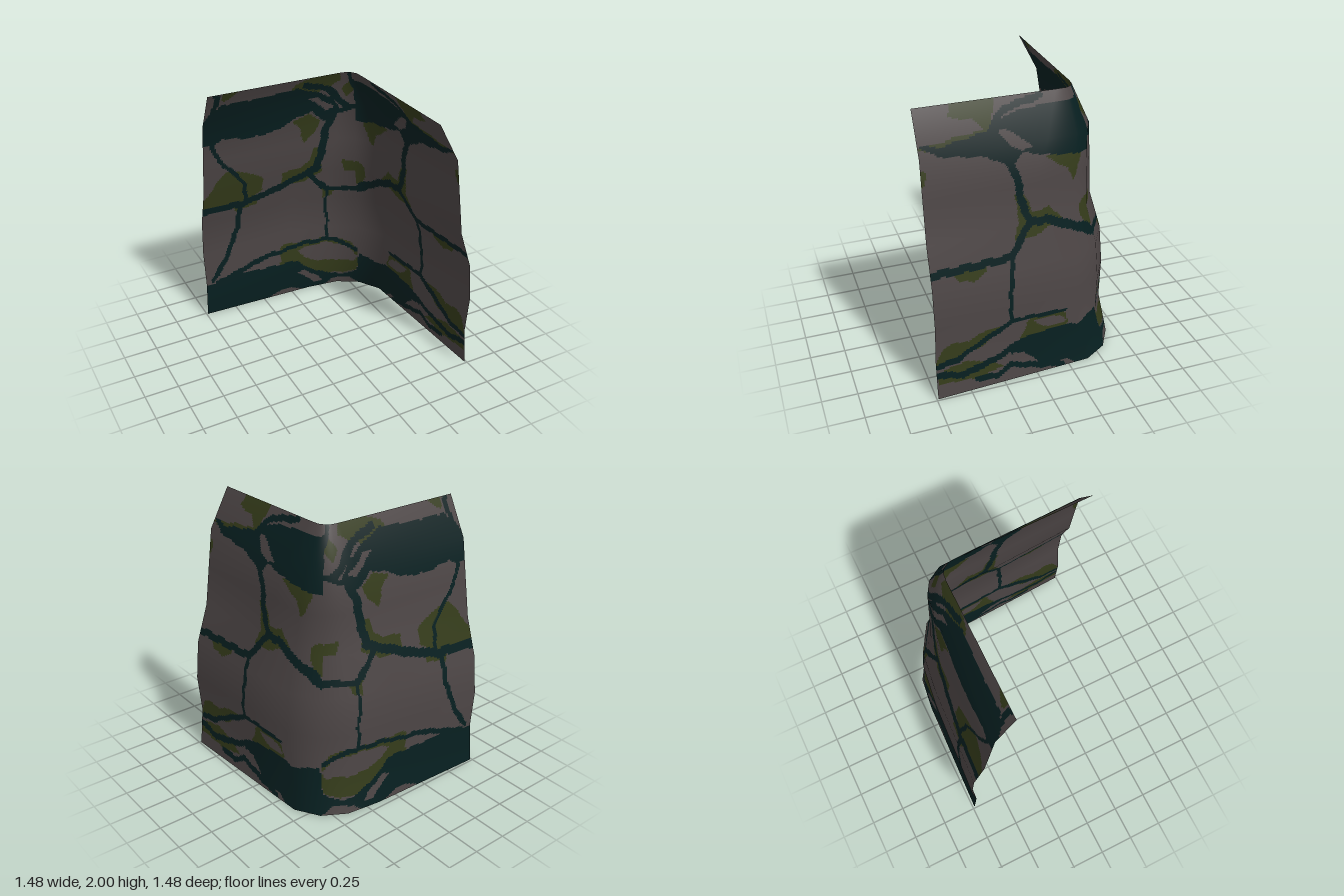
import * as THREE from 'three';

// Profile rows, top to bottom: height, back wall offset, side wall offset, corner offset
const rows = [
  [2, 0.366, 0.372, 0.333], [1.72, 0.513, 0.526, 0.424], [1.43, 0.56, 0.567, 0.43], [1.15, 0.606, 0.606, 0.438],
  [0.87, 0.698, 0.70, 0.498], [0.58, 0.729, 0.73, 0.517], [0.29, 0.706, 0.706, 0.515], [0, 0.737, 0.737, 0.57],
];
const STEP = 0.0125;

// Painted patches: s runs along a wall (x on the back wall, -z on the side wall), then height
const paint = { back: [], side: [] };
const area = (wall, color, pts) => paint[wall].push({ color, pts, width: 0 });
const line = (wall, width, pts) => paint[wall].push({ color: 'grout', pts, width });

// Back wall moss
area('back', 'moss', [[-.74, 1.0], [-.74, 1.08], [-.62, 1.25], [-.57, 1.31], [-.42, 1.28], [-.28, 1.2], [-.27, 1.08], [-.4, 1.0]]);
area('back', 'moss', [[-.12, 1.08], [-.12, 1.2], [.03, 1.21], [.1, 1.26], [.13, 1.36], [.2, 1.38], [.2, 1.15], [.08, 1.08]]);
area('back', 'moss', [[-.05, 1.62], [.02, 1.55], [.04, 1.43], [.14, 1.5], [.17, 1.6], [.08, 1.67]]);
area('back', 'moss', [[.35, 1.25], [.45, 1.22], [.45, 1.14], [.36, 1.15]]);
area('back', 'moss', [[-.5, .96], [-.47, .9], [-.42, .93], [-.3, .94], [-.3, .98]]);
area('back', 'moss', [[.23, 1.0], [.25, .87], [.31, .89], [.33, .96]]);
area('back', 'moss', [[-.12, .3], [-.1, .49], [.35, .49], [.47, .44], [.53, .36], [.53, .16], [.43, .11], [.28, .13], [.08, .22]]);
area('back', 'moss', [[-.12, 1.9], [-.08, 1.96], [.02, 2], [.25, 2], [.28, 1.93], [.1, 1.84]]);
area('back', 'moss', [[-.64, 2], [-.62, 1.92], [-.55, 1.97], [-.5, 2]]);
area('back', 'moss', [[.3, 1.85], [.36, 1.78], [.41, 1.92], [.36, 1.95]]);
// Back wall broad grout
area('back', 'grout', [[-.74, 1.57], [-.66, 1.55], [-.6, 1.6], [-.4, 1.56], [-.18, 1.58], [0, 1.66], [.1, 1.68], [.2, 1.59],
  [.27, 1.58], [.33, 1.66], [.25, 1.78], [.08, 1.87], [-.05, 1.92], [-.12, 1.92], [-.3, 1.9], [-.62, 1.9], [-.74, 1.77]]);
area('back', 'grout', [[-.74, 0], [-.74, .3], [-.64, .29], [-.5, .33], [-.2, .32], [.05, .32], [.1, .24], [.28, .14], [.42, .09],
  [.53, .15], [.55, .36], [.66, .33], [.73, 0], [.1, 0], [.03, .04], [-.1, .05], [-.2, 0]]);
// Back wall stones lying in the broad areas
area('back', 'stone', [[.04, .2], [.1, .2], [.22, .12], [.27, .04], [.2, .05], [.12, .12]]);
area('back', 'stone', [[.04, .41], [.15, .44], [.33, .44], [.44, .4], [.52, .31], [.5, .26], [.38, .26], [.22, .28], [.1, .33]]);
area('back', 'stone', [[-.32, .33], [-.25, .39], [-.14, .41], [-.1, .35], [-.2, .32]]);
area('back', 'stone', [[.05, 1.81], [.13, 1.8], [.28, 1.69], [.22, 1.67], [.15, 1.73]]);
area('back', 'stone', [[.3, 0], [.36, .05], [.5, .06], [.56, 0]]);
// Back wall joints
line('back', .032, [[-.74, .97], [-.42, .98], [-.15, 1.06], [.05, 1.14], [.16, 1.19], [.2, 1.35], [.22, 1.52], [.28, 1.64]]);
line('back', .022, [[.1, 1.15], [.17, 1.06], [.27, .96], [.48, .97]]);
line('back', .012, [[.28, .96], [.27, .75], [.295, .7], [.295, .47]]);
line('back', .02, [[-.44, .97], [-.46, .75], [-.53, .55], [-.61, .42], [-.68, .32]]);
line('back', .016, [[-.68, 1.56], [-.62, 1.42], [-.5, 1.28], [-.42, 1.17], [-.4, 1.0]]);
line('back', .022, [[-.64, .29], [-.4, .37], [-.25, .42], [-.12, .435]]);
line('back', .018, [[-.12, .43], [.08, .47], [.35, .47], [.46, .4], [.6, .32]]);
line('back', .02, [[-.68, 2], [-.66, 1.92], [-.7, 1.8]]);
line('back', .025, [[.0, 1.94], [.2, 1.87], [.3, 1.76], [.38, 1.68]]);
line('back', .02, [[.33, 1.99], [.4, 1.85], [.45, 1.7], [.28, 1.64]]);

// Side wall moss
area('side', 'moss', [[-.74, 1.78], [-.5, 1.81], [-.31, 1.83], [-.36, 1.9], [-.52, 1.92], [-.5, 2], [-.2, 2], [-.22, 1.93], [-.3, 1.76], [-.66, 1.75]]);
area('side', 'moss', [[-.74, 1.66], [-.7, 1.64], [-.72, 1.56], [-.74, 1.54]]);
area('side', 'moss', [[-.14, 1.04], [-.1, 1.2], [-.12, 1.38], [-.05, 1.36], [0, 1.23], [.12, 1.25], [.22, 1.15], [.05, 1.08]]);
area('side', 'moss', [[.1, 1.6], [.2, 1.62], [.37, 1.6], [.36, 1.53], [.3, 1.39], [.26, 1.5]]);
area('side', 'moss', [[-.6, .95], [-.35, .95], [-.36, .91], [-.45, .86], [-.56, .89]]);
area('side', 'moss', [[.36, 1.15], [.36, 1.2], [.46, 1.25], [.46, 1.02], [.42, 1.02]]);
area('side', 'moss', [[-.74, .27], [-.7, .38], [-.6, .43], [-.5, .4], [-.42, .45], [-.2, .47], [-.4, .33], [-.6, .27]]);
area('side', 'moss', [[-.74, .12], [-.7, .21], [-.55, .24], [-.35, .2], [-.25, .13], [-.45, .08]]);
area('side', 'moss', [[-.12, .3], [-.05, .46], [.22, .46], [.25, .3], [.1, .28]]);
// Side wall broad grout
area('side', 'grout', [[-.74, 1.8], [-.62, 1.72], [-.3, 1.67], [-.14, 1.58], [-.05, 1.66], [.1, 1.62], [.37, 1.58], [.55, 1.56],
  [.52, 1.75], [.42, 1.95], [.3, 1.93], [.02, 1.92], [-.12, 1.9], [-.3, 1.82], [-.6, 1.77]]);
area('side', 'grout', [[-.18, .24], [-.06, .31], [.23, .33], [.36, .3], [.5, .34], [.55, .2], [.68, .22], [.74, 0], [.3, 0], [.24, .05], [.1, .04], [-.04, .1], [-.2, .2]]);
// Side wall stones lying in the broad areas
area('side', 'stone', [[-.22, 1.82], [-.13, 1.81], [.01, 1.69], [-.06, 1.67], [-.14, 1.72]]);
area('side', 'stone', [[-.18, .2], [-.1, .2], [0, .1], [.01, .05], [-.08, .06]]);
area('side', 'stone', [[-.02, .43], [.05, .44], [.2, .42], [.23, .36], [.08, .35]]);
// Side wall joints
line('side', .026, [[-.74, .96], [-.17, .96], [-.1, 1.06], [-.02, 1.16], [-.08, 1.33], [-.1, 1.5], [-.16, 1.61]]);
line('side', .03, [[-.02, 1.17], [.1, 1.16], [.25, 1.1], [.4, 1.02], [.46, .97], [.6, .95]]);
line('side', .016, [[-.17, .96], [-.18, .75], [-.19, .7], [-.19, .48], [.22, .46]]);
line('side', .022, [[-.19, .47], [-.4, .37], [-.58, .27], [-.74, .25]]);
line('side', .025, [[-.74, .19], [-.55, .14], [-.3, .2], [-.1, .28]]);
line('side', .022, [[-.45, .08], [-.3, .06], [-.2, .12], [.05, .05], [.2, .02]]);
line('side', .022, [[-.25, 1.83], [-.15, 1.93], [.1, 1.98]]);

function inside(s, y, pts) {
  let hit = false;
  pts.forEach(([ax, ay], i) => {
    const [bx, by] = pts[(i + 1) % pts.length];
    if ((ay > y) !== (by > y) && s < ax + (bx - ax) * (y - ay) / (by - ay)) hit = !hit;
  });
  return hit;
}

function nearLine(s, y, pts, width) {
  for (let i = 1; i < pts.length; i++) {
    const [ax, ay] = pts[i - 1], dx = pts[i][0] - ax, dy = pts[i][1] - ay;
    const t = THREE.MathUtils.clamp(((s - ax) * dx + (y - ay) * dy) / (dx * dx + dy * dy), 0, 1);
    if (Math.hypot(s - ax - t * dx, y - ay - t * dy) < width) return true;
  }
  return false;
}

// Last matching patch wins; a small wobble roughens the borders
function colorAt(p) {
  const wall = p.x < -p.z ? 'back' : 'side';
  const s0 = wall === 'back' ? p.x : -p.z;
  const s = s0 + 0.004 * Math.sin(p.y * 47), y = p.y + 0.004 * Math.sin(s0 * 41);
  let color = 'stone';
  for (const k of paint[wall]) {
    if (k.width ? nearLine(s, y, k.pts, k.width) : inside(s, y, k.pts)) color = k.color;
  }
  return color;
}

// Half a row, from the wall's free end towards the corner, as [along, offset]
function halfRow(p, c, reach, drop) {
  const d = p - c;
  return [[-.74, p], [c - reach * d, p - drop * d], [c - d, p - .4 * d]];
}

// Coarse bent sheet: seven points per row
function controlSheet() {
  const pos = [], index = [];
  for (const [y, back, side, c] of rows) {
    halfRow(back, c, 2.5, .2).forEach(([s, o]) => pos.push(s, y, -o));
    pos.push(c, y, -c);
    halfRow(side, c, 3, .28).reverse().forEach(([s, o]) => pos.push(o, y, -s));
  }
  for (let r = 0; r < rows.length - 1; r++) for (let k = 0; k < 6; k++) {
    const a = r * 7 + k;
    index.push(a, a + 1, a + 7, a + 1, a + 8, a + 7);
  }
  const g = new THREE.BufferGeometry();
  g.setAttribute('position', new THREE.Float32BufferAttribute(pos, 3));
  g.setIndex(index);
  g.computeVertexNormals();
  return g;
}

// Split each span into small equal steps
function spans(lengths) {
  const out = [];
  lengths.forEach((len, i) => {
    const n = Math.ceil(len / STEP);
    for (let k = 0; k < n; k++) out.push([i, k / n]);
  });
  out.push([lengths.length - 1, 1]);
  return out;
}

export function createModel() {
  const group = new THREE.Group();
  group.name = 'stoneWallCorner';
  const sheet = controlSheet();
  const us = spans([0.9, 0.28, 0.2, 0.2, 0.34, 0.84]);
  const vs = spans(rows.slice(1).map((r, i) => rows[i][0] - r[0]));
  const v = (attr, i) => new THREE.Vector3().fromBufferAttribute(attr, i);
  const sample = (attr, [k, t], [r, f]) => {
    const a = r * 7 + k;
    return v(attr, a).lerp(v(attr, a + 1), t).lerp(v(attr, a + 7).lerp(v(attr, a + 8), t), f);
  };

  // Fine sheet sharing the smooth shading of the coarse one
  const points = [], normals = [];
  for (const r of vs) for (const k of us) {
    points.push(sample(sheet.attributes.position, k, r));
    normals.push(...sample(sheet.attributes.normal, k, r).normalize().toArray());
  }
  const position = new THREE.Float32BufferAttribute(points.flatMap((p) => p.toArray()), 3);
  const normal = new THREE.Float32BufferAttribute(normals, 3);

  // Sort the cells by colour
  const cells = { stone: [], grout: [], moss: [] }, w = us.length;
  for (let r = 0; r < vs.length - 1; r++) for (let k = 0; k < w - 1; k++) {
    const a = r * w + k;
    const mid = points[a].clone().add(points[a + w + 1]).multiplyScalar(0.5);
    cells[colorAt(mid)].push(a, a + 1, a + w, a + 1, a + w + 1, a + w);
  }

  const colors = { stone: 0x4c4545, grout: 0x071f20, moss: 0x343b1a };
  const names = { stone: 'wallStones', grout: 'darkJoints', moss: 'mossPatches' };
  for (const key of Object.keys(cells)) {
    const g = new THREE.BufferGeometry();
    g.setAttribute('position', position);
    g.setAttribute('normal', normal);
    g.setIndex(cells[key]);
    const material = new THREE.MeshStandardMaterial({ color: colors[key], side: THREE.DoubleSide });
    material.name = key;
    const mesh = new THREE.Mesh(g, material);
    mesh.name = names[key];
    group.add(mesh);
  }
  return group;
}
